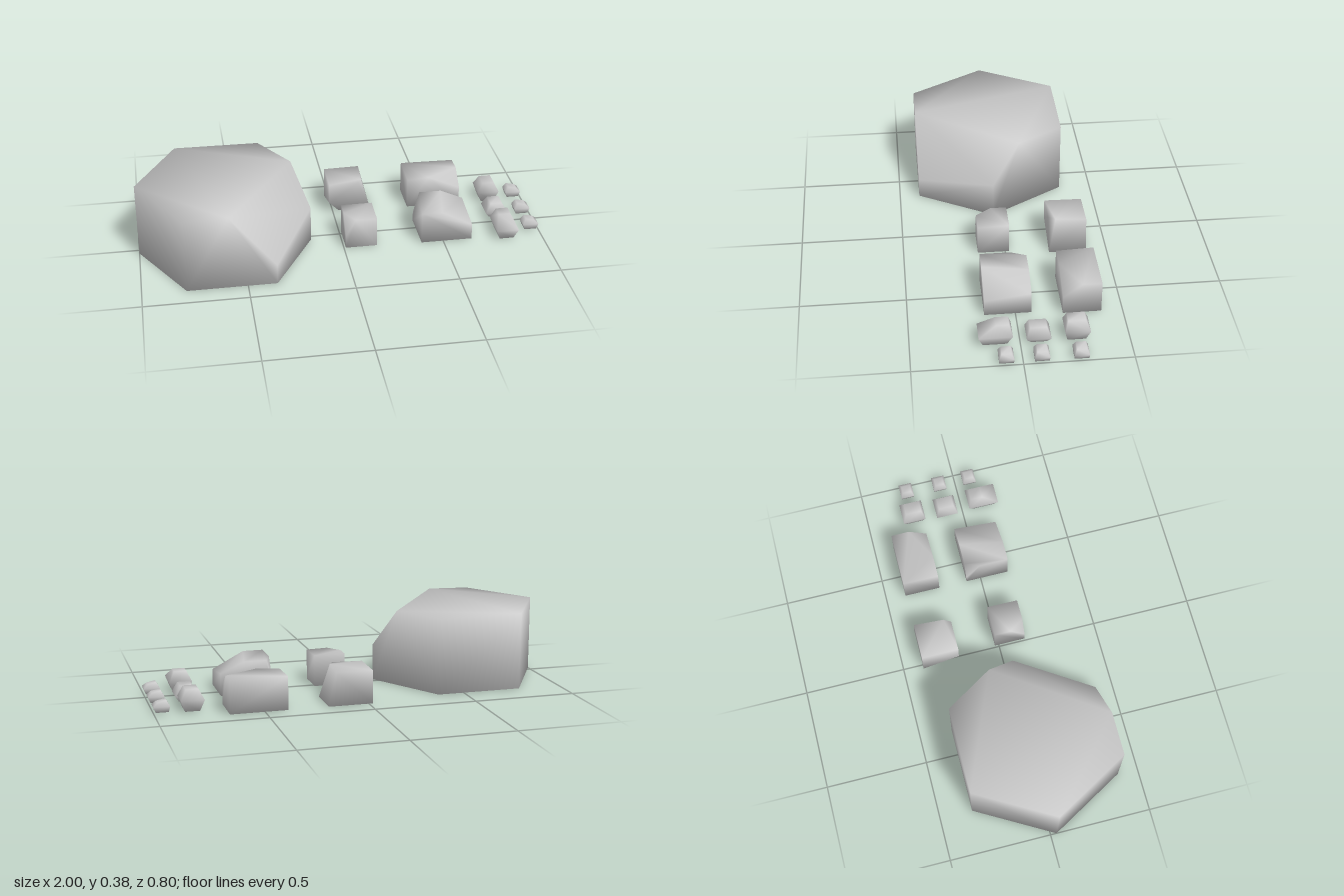
import * as THREE from 'three';
import { ConvexGeometry } from 'three/addons/geometries/ConvexGeometry.js';
import { mergeVertices } from 'three/addons/utils/BufferGeometryUtils.js';

// Smooth-shaded rock wrapped around a few corner points
function rock(name, points) {
  let geo = new ConvexGeometry(points.map(p => new THREE.Vector3(...p)));
  geo.deleteAttribute('normal');
  geo = mergeVertices(geo, 1e-4);
  geo.computeVertexNormals();
  const mesh = new THREE.Mesh(geo, new THREE.MeshStandardMaterial({ color: 0xcccccc }));
  mesh.name = name;
  return mesh;
}

// Rectangle of four corners at height y
const ring = (y, x0, x1, z0, z1) => [[x0, y, z0], [x1, y, z0], [x1, y, z1], [x0, y, z1]];

// Pebble: wide waist with narrower base and top rings
const pebble = (name, base, waist, top) =>
  rock(name, [...ring(...base), ...ring(...waist), ...ring(...top)]);

export function createModel() {
  const group = new THREE.Group();
  group.name = 'rocks';

  // Boulder: hexagonal block with one upper corner sliced off
  const hexagon = [[-1, 0.03], [-0.79, -0.34], [-0.37, -0.34], [-0.15, 0.03], [-0.36, 0.4], [-0.79, 0.4]];
  const heights = [0.375, 0.375, 0.372, 0.18, 0.1, 0.37];
  group.add(rock('boulder', [
    ...hexagon.map(([x, z]) => [x, 0, z]),
    ...hexagon.map(([x, z], i) => [x, heights[i], z]),
    [-0.58, 0.375, 0.4], [-0.23, 0.375, -0.11],
  ]));

  // Medium rocks: blocks with a sliced corner
  group.add(rock('mediumRockBack', [
    [-0.02, 0, -0.4], [0.195, 0, -0.4], [0.195, 0, -0.215], [0.03, 0, -0.24],
    [-0.02, 0.06, -0.215], [-0.02, 0.163, -0.215], [-0.02, 0.16, -0.4],
    [0.16, 0.163, -0.4], [0.15, 0.166, -0.25], [0.13, 0.166, -0.215],
  ]));
  group.add(rock('mediumRockFront', [
    ...ring(0, 0.01, 0.165, -0.02, 0.135),
    [0.01, 0.155, -0.02], [0.165, 0.155, -0.02], [0.165, 0.15, 0.135],
    [0.01, 0.065, 0.135], [0.01, 0.155, 0.06], [0.06, 0.153, 0.135],
  ]));
  group.add(rock('wideRockFront', [
    ...ring(0, 0.39, 0.645, -0.075, 0.145),
    [0.39, 0.162, 0.145], [0.39, 0.162, 0], [0.42, 0.162, -0.075], [0.39, 0.05, -0.075],
    [0.53, 0.162, -0.075], [0.49, 0.162, 0.145], [0.645, 0.11, -0.075], [0.645, 0.08, 0.145],
  ]));
  group.add(rock('wideRockBack', [
    ...ring(0, 0.39, 0.665, -0.4, -0.22),
    [0.39, 0.162, -0.4], [0.665, 0.158, -0.4], [0.39, 0.155, -0.22],
    [0.665, 0.162, -0.31], [0.5, 0.162, -0.22], [0.665, 0.09, -0.22],
  ]));

  // Small rocks
  group.add(pebble('smallRockFront', [0, 0.785, 0.855, 0.06, 0.17],
    [0.053, 0.765, 0.875, 0.035, 0.19], [0.105, 0.79, 0.85, 0.05, 0.11]));
  group.add(pebble('smallRockMiddle', [0, 0.785, 0.855, -0.12, -0.05],
    [0.03, 0.765, 0.875, -0.14, -0.028], [0.078, 0.79, 0.85, -0.122, -0.045]));
  group.add(pebble('smallRockBack', [0, 0.785, 0.855, -0.3, -0.215],
    [0.055, 0.765, 0.875, -0.318, -0.202], [0.105, 0.79, 0.85, -0.298, -0.217]));

  // Pebbles, sloping down towards the outer end
  [['pebbleFront', 0.075], ['pebbleMiddle', -0.085], ['pebbleBack', -0.262]].forEach(([name, z]) => {
    group.add(rock(name, [
      ...ring(0.004, 0.93, 0.99, z - 0.033, z + 0.033),
      ...ring(0.03, 0.922, 1, z - 0.034, z + 0.034),
      [0.937, 0.057, z - 0.022], [0.937, 0.057, z + 0.022],
      [0.98, 0.048, z - 0.022], [0.98, 0.048, z + 0.022],
    ]));
  });

  return group;
}
